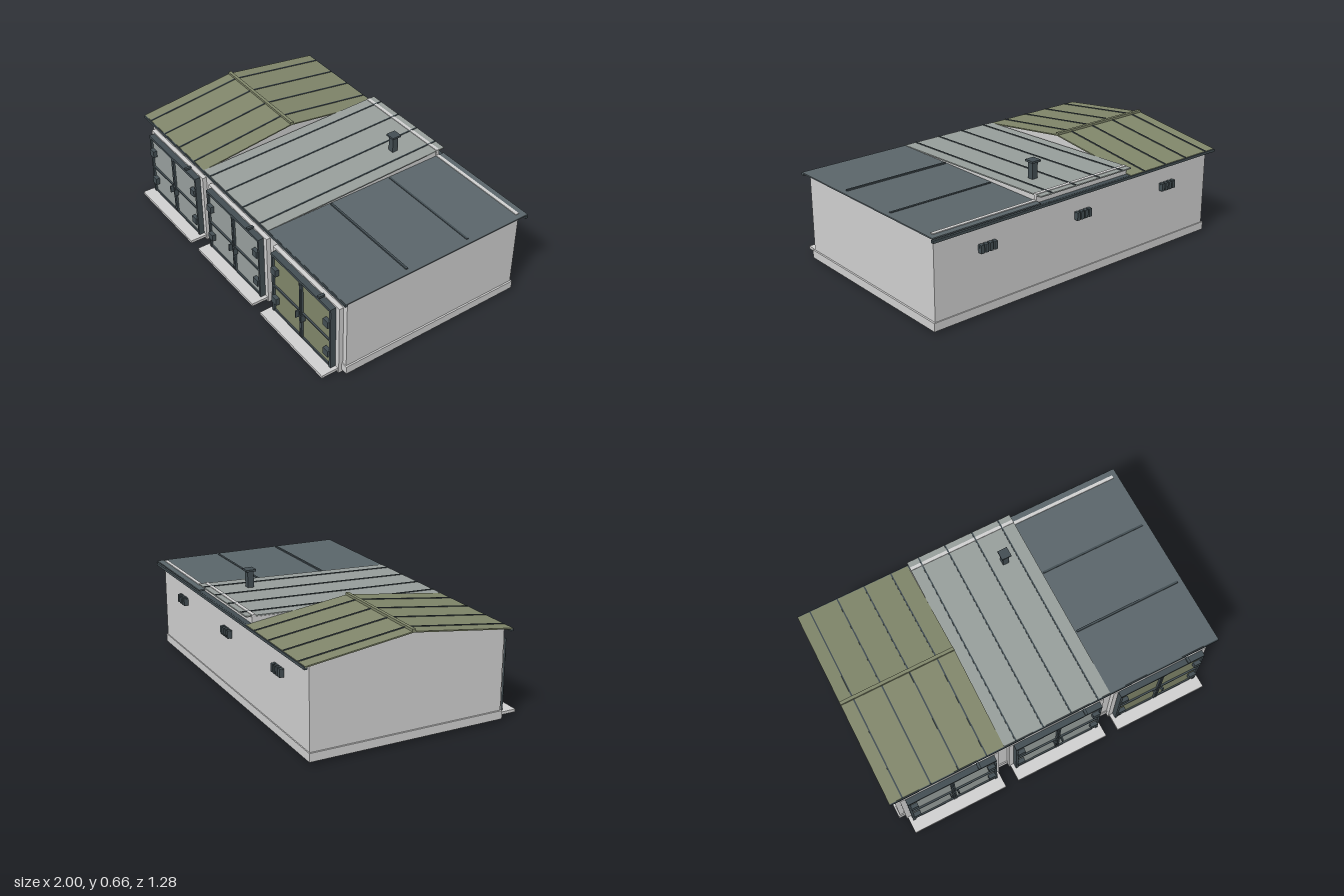
import * as THREE from 'three';

const mat = (name, color) => {
  const m = new THREE.MeshStandardMaterial({ color });
  m.name = name;
  return m;
};

export function createModel() {
  const wall = mat('render wall', 0xd0d0d0);
  const olive = mat('olive paint', 0x80866a);
  const silver = mat('silver roof', 0x979e9b);
  const doorGrey = mat('grey door', 0x98a09e);
  const slate = mat('slate roof', 0x5a656a);
  const dark = mat('dark metal', 0x434e53);

  const root = new THREE.Group();
  root.name = 'garageRow';

  // box given by its minimum and maximum on each axis
  const box = (parent, name, m, x0, x1, y0, y1, z0, z1) => {
    const mesh = new THREE.Mesh(new THREE.BoxGeometry(x1 - x0, y1 - y0, z1 - z0), m);
    mesh.position.set((x0 + x1) / 2, (y0 + y1) / 2, (z0 + z1) / 2);
    mesh.name = name;
    parent.add(mesh);
    return mesh;
  };

  // prism along x from a [z, y] outline
  const prism = (parent, name, m, x0, x1, outline) => {
    const shape = new THREE.Shape(outline.map(([z, y]) => new THREE.Vector2(-z, y)));
    const geo = new THREE.ExtrudeGeometry(shape, { depth: x1 - x0, bevelEnabled: false });
    geo.rotateY(Math.PI / 2);
    geo.translate(x0, 0, 0);
    const mesh = new THREE.Mesh(geo, m);
    mesh.name = name;
    parent.add(mesh);
  };

  // sloping sheet, top edge from [z0, y0] to [z1, y1]
  const sheet = (parent, name, m, x0, x1, z0, y0, z1, y1, t = 0.007) =>
    prism(parent, name, m, x0, x1, [[z0, y0 - t], [z0, y0], [z1, y1], [z1, y1 - t]]);

  // building shell
  box(root, 'walls', wall, -0.97, 0.97, 0.015, 0.515, -0.6, 0.515);
  box(root, 'plinth', wall, -0.98, 0.98, 0.015, 0.062, -0.606, 0.521);
  prism(root, 'gableWall', wall, -0.97, -0.335, [[0.515, 0.5], [0.515, 0.514], [-0.045, 0.588], [-0.6, 0.514], [-0.6, 0.5]]);
  prism(root, 'middleUpperWall', wall, -0.325, 0.315, [[0.515, 0.5], [0.515, 0.512], [-0.6, 0.557], [-0.6, 0.5]]);
  box(root, 'middleParapet', wall, -0.325, 0.32, 0.5, 0.568, -0.6, -0.58);
  box(root, 'rightParapet', wall, 0.32, 0.97, 0.5, 0.534, -0.6, -0.58);

  // olive pitched roof
  const pitched = new THREE.Group();
  pitched.name = 'pitchedRoof';
  root.add(pitched);
  for (const [side, z] of [['front', 0.545], ['back', -0.635]]) {
    sheet(pitched, side + 'Slope', olive, -1, -0.325, z, 0.52, -0.045, 0.598);
    for (const x of [-0.925, -0.76, -0.595, -0.43])
      sheet(pitched, side + 'Seam', dark, x - 0.004, x + 0.004, z, 0.524, -0.045, 0.602);
  }
  box(pitched, 'ridgeCap', olive, -1, -0.325, 0.592, 0.61, -0.055, -0.036);

  // silver lean-to roof
  const leanTo = new THREE.Group();
  leanTo.name = 'leanToRoof';
  root.add(leanTo);
  sheet(leanTo, 'slope', silver, -0.325, 0.32, 0.545, 0.522, -0.635, 0.566);
  for (const x of [-0.255, -0.09, 0.08, 0.245])
    sheet(leanTo, 'seam', dark, x - 0.004, x + 0.004, 0.545, 0.526, -0.635, 0.57);

  // slate low roof
  const low = new THREE.Group();
  low.name = 'lowRoof';
  root.add(low);
  sheet(low, 'slope', slate, 0.32, 1, 0.545, 0.52, -0.635, 0.53);
  for (const z of [0.15, -0.245])
    box(low, 'seam', dark, 0.33, 0.97, 0.515, 0.531, z - 0.006, z + 0.006);

  // gutters
  box(root, 'frontGutter', dark, -1, 1, 0.503, 0.518, 0.534, 0.551);
  box(root, 'backGutter', dark, -1, 1, 0.503, 0.518, -0.641, -0.624);
  box(root, 'backFascia', dark, -0.98, 0.98, 0.51, 0.519, -0.63, -0.6);

  // chimney
  box(root, 'chimneyShaft', dark, 0.147, 0.183, 0.535, 0.652, -0.413, -0.377);
  box(root, 'chimneyCap', dark, 0.136, 0.194, 0.65, 0.661, -0.424, -0.366);

  // garage doors, one per bay
  const bays = [[-0.65, doorGrey], [0, doorGrey], [0.648, olive]];
  for (const [cx, paint] of bays) {
    const bay = new THREE.Group();
    bay.name = 'garageBay';
    bay.position.x = cx;
    root.add(bay);
    box(bay, 'surround', wall, -0.293, 0.293, 0, 0.44, 0.5, 0.54);
    box(bay, 'apron', wall, -0.286, 0.286, 0.015, 0.031, 0.53, 0.64);
    for (const x of [-0.265, 0.251])
      box(bay, 'jamb', dark, x, x + 0.014, 0.031, 0.43, 0.54, 0.572);
    box(bay, 'lintel', dark, -0.265, 0.265, 0.416, 0.432, 0.54, 0.574);
    box(bay, 'doorstep', dark, -0.255, 0.255, 0.031, 0.042, 0.54, 0.568);
    for (const s of [-1, 1]) {
      const span = (name, m, a, b, y0, y1, z0, z1) =>
        box(bay, name, m, Math.min(s * a, s * b), Math.max(s * a, s * b), y0, y1, z0, z1);
      span('doorLeaf', paint, 0.003, 0.251, 0.04, 0.418, 0.54, 0.56);
      span('innerStile', dark, 0.002, 0.011, 0.04, 0.418, 0.54, 0.572);
      span('midRail', dark, 0.01, 0.252, 0.207, 0.216, 0.555, 0.57);
      span('handle', dark, 0.019, 0.027, 0.168, 0.212, 0.56, 0.588);
      for (const y of [0.103, 0.303])
        span('hinge', dark, 0.212, 0.255, y, y + 0.042, 0.556, 0.583);
    }
    box(bay, 'latchHook', dark, 0.156, 0.172, 0.438, 0.45, 0.54, 0.577);
  }

  // rear vents
  for (const cx of [-0.645, 0, 0.645]) {
    const vent = new THREE.Group();
    vent.name = 'rearVent';
    vent.position.x = cx;
    root.add(vent);
    box(vent, 'ventPlate', dark, -0.053, 0.053, 0.36, 0.396, -0.612, -0.598);
    for (let i = 0; i < 4; i++) {
      const x = -0.042 + i * 0.028;
      box(vent, 'ventFin', dark, x - 0.01, x + 0.01, 0.355, 0.4, -0.625, -0.6);
    }
  }
  return root;
}
